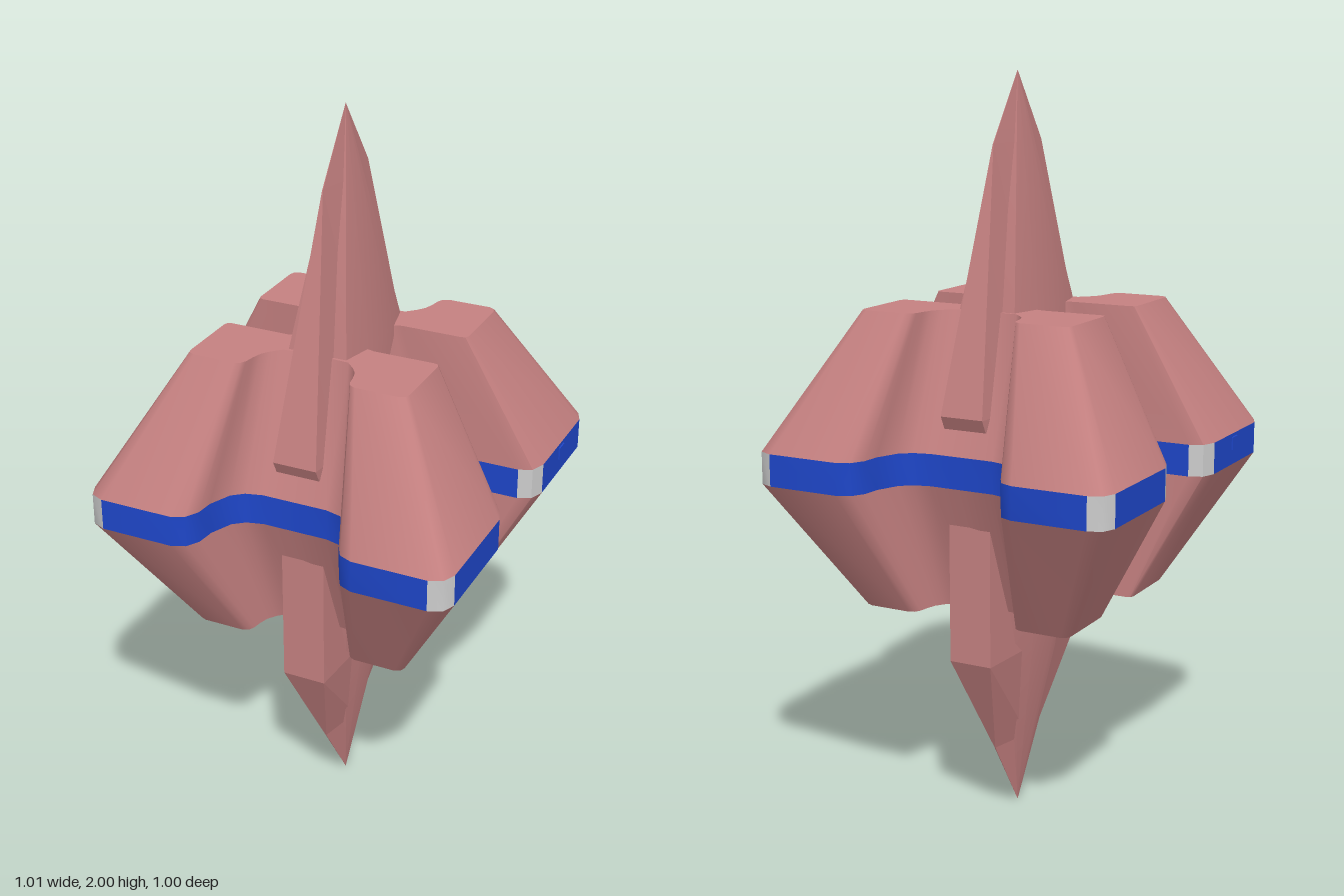
import * as THREE from 'three';
import { toCreasedNormals } from 'three/addons/utils/BufferGeometryUtils.js';

const RED = 0xc48080, BLUE = 0x1e46c8, GREY = 0xcccccc;

// Mirrors a quarter outline (from the x axis to the z axis) into a closed ring.
function ring(quarter, y) {
  const flip = (sx, sz) => quarter.map(([x, z]) => [x * sx, y, z * sz]);
  return [
    ...flip(1, 1),
    ...flip(-1, 1).reverse().slice(1),
    ...flip(-1, -1).slice(1),
    ...flip(1, -1).reverse().slice(1, -1),
  ];
}

// Skins a stack of rings from bottom to top; keep(x, z) selects wall segments.
function loft(rings, crease, caps = true, keep = () => true) {
  const pos = [];
  const tri = (a, b, c) => pos.push(...a, ...b, ...c);
  const n = rings[0].length;
  for (let r = 0; r < rings.length - 1; r++) {
    const lo = rings[r], hi = rings[r + 1];
    for (let i = 0; i < n; i++) {
      const j = (i + 1) % n;
      const mx = Math.abs(lo[i][0] + lo[j][0]) / 2, mz = Math.abs(lo[i][2] + lo[j][2]) / 2;
      if (!keep(mx, mz)) continue;
      tri(lo[i], hi[i], hi[j]);
      tri(lo[i], hi[j], lo[j]);
    }
  }
  const cap = (pts, up) => {
    const flat = pts.map(p => new THREE.Vector2(p[0], p[2]));
    for (const [a, b, c] of THREE.ShapeUtils.triangulateShape(flat, [])) {
      const ccw = THREE.ShapeUtils.area([flat[a], flat[b], flat[c]]) > 0;
      if (ccw === up) tri(pts[a], pts[c], pts[b]);
      else tri(pts[a], pts[b], pts[c]);
    }
  };
  if (caps) {
    // A ring that has shrunk to a point needs no cap
    const wide = p => p.some(v => Math.abs(v[0]) > 0.001);
    if (wide(rings[0])) cap(rings[0], false);
    if (wide(rings[rings.length - 1])) cap(rings[rings.length - 1], true);
  }
  const g = new THREE.BufferGeometry();
  g.setAttribute('position', new THREE.Float32BufferAttribute(pos, 3));
  return toCreasedNormals(g, crease);
}

// Quarter plan of the hull where it meets the band
const WIDE = [
  [0.105, 0], [0.119, 0.05], [0.155, 0.09], [0.21, 0.105],
  [0.45, 0.105], [0.485, 0.12], [0.5, 0.16],
  [0.5, 0.45], [0.485, 0.485], [0.45, 0.5],
  [0.25, 0.5], [0.215, 0.485], [0.195, 0.45],
  [0.19, 0.4], [0.165, 0.34], [0.135, 0.315], [0.09, 0.303], [0, 0.303],
];
// Matching quarter plan at the ends of the pods
const NARROW = [
  [0.08, 0], [0.085, 0.045], [0.095, 0.08], [0.12, 0.087],
  [0.285, 0.087], [0.295, 0.09], [0.3, 0.1],
  [0.3, 0.275], [0.295, 0.29], [0.28, 0.297],
  [0.165, 0.297], [0.15, 0.29], [0.142, 0.275],
  [0.138, 0.25], [0.13, 0.222], [0.115, 0.2], [0.09, 0.175], [0, 0.17],
];

export function createModel() {
  const group = new THREE.Group();
  const add = (name, geometry, color, parent = group) => {
    const mesh = new THREE.Mesh(geometry, new THREE.MeshStandardMaterial({ color }));
    mesh.name = name;
    parent.add(mesh);
    return mesh;
  };

  // Four-pod hull, above and below the band
  add('upperHull', loft([ring(WIDE, 1.045), ring(NARROW, 1.4)], 0.8), RED);
  add('lowerHull', loft([ring(NARROW, 0.61), ring(WIDE, 0.96)], 0.8), RED);

  // Band: blue walls, grey at the outer corners and side recesses
  const isGrey = (x, z) =>
    (x > 0.455 && (z > 0.455 || z < 0.155)) || (x < 0.2 && z < 0.1);
  const bandRings = [ring(WIDE, 0.96), ring(WIDE, 1.045)];
  add('blueBand', loft(bandRings, 0.8, false, (x, z) => !isGrey(x, z)), BLUE);
  add('greyBandCorners', loft(bandRings, 0.8, false, isGrey), GREY);

  // Small hatch on one pod at each side
  for (const s of [1, -1]) {
    const hatch = add('hatch', new THREE.BoxGeometry(0.008, 0.035, 0.035), BLUE);
    hatch.position.set(0.5 * s, 1.018, -0.3 * s);
  }

  // Central spindle, pointed at both ends
  const core = (y, sx, sz) =>
    ring([[0.1 * sx, 0], [0.1 * sx, 0.08 * sz], [0.08 * sx, 0.165 * sz], [0, 0.165 * sz]], y);
  add('spindle', loft([
    core(0, 0, 0), core(0.61, 1, 1), core(1, 1, 1.2), core(1.4, 1, 1), core(2, 0, 0),
  ], 0.35), RED);

  // Fins running front to back: y, outer half-width, outer z, root half-width
  const fin = rows => loft(
    rows.map(([y, w, z, root]) => ring([[root, 0], [w, z], [0, z]], y)), 0.1);
  add('upperFins', fin([
    [1.11, 0.06, 0.282, 0.09], [1.145, 0.06, 0.3, 0.09],
    [1.82, 0.001, 0.13, 0.027], [2, 0, 0, 0],
  ]), RED);
  add('lowerFins', fin([
    [0, 0, 0, 0], [0.2, 0.001, 0.13, 0.03],
    [0.48, 0.06, 0.262, 0.075], [0.9, 0.06, 0.262, 0.085],
  ]), RED);

  return group;
}
